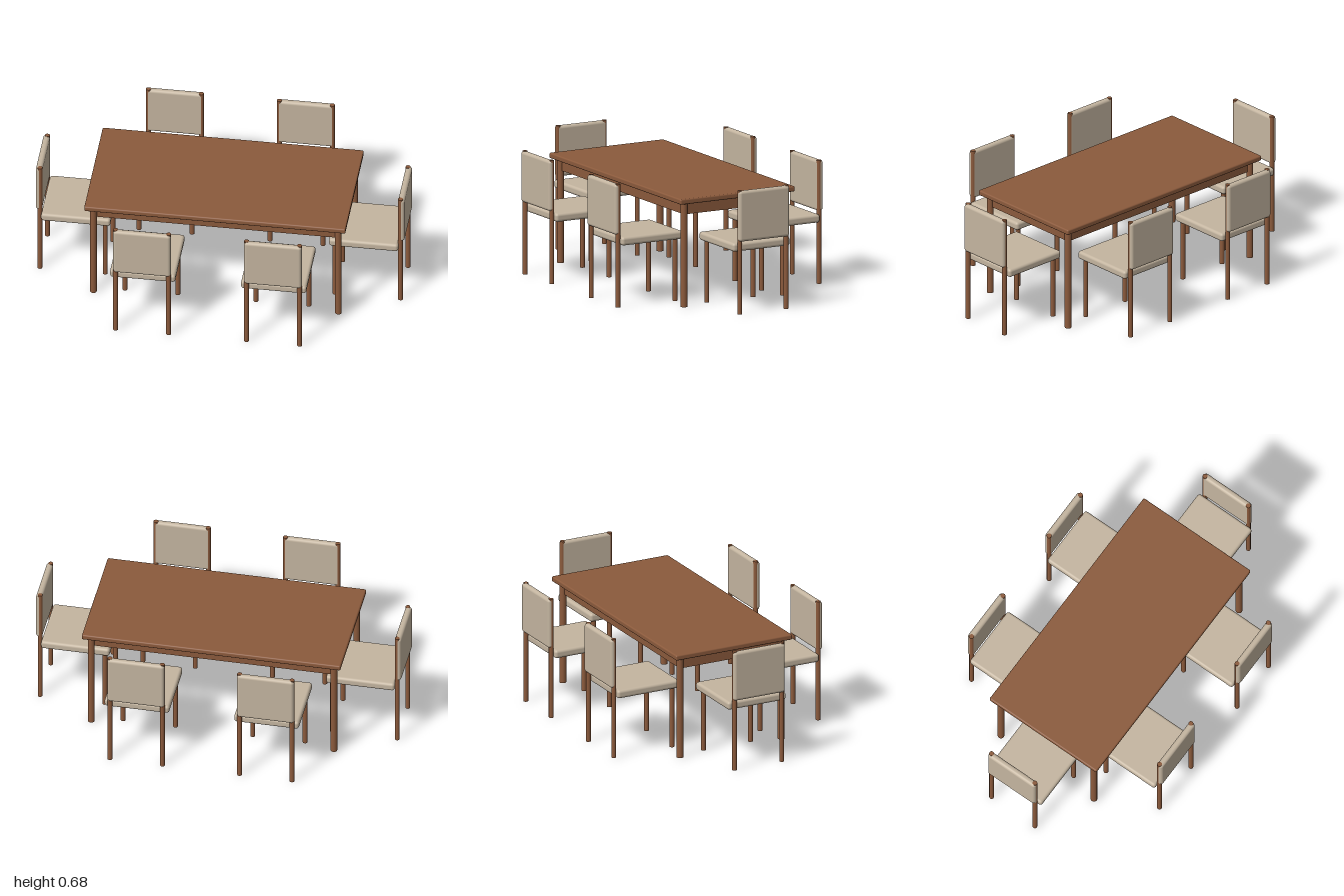
import * as THREE from 'three';
import { RoundedBoxGeometry } from 'three/addons/geometries/RoundedBoxGeometry.js';

const wood = new THREE.MeshStandardMaterial({ color: 0x8b5a3c });
const fabric = new THREE.MeshStandardMaterial({ color: 0xc4b5a0 });

function add(parent, name, geometry, material, x, y, z) {
  const mesh = new THREE.Mesh(geometry, material);
  mesh.name = name;
  mesh.position.set(x, y, z);
  parent.add(mesh);
}

// Soft-edged box; y is the height of its underside
function block(parent, name, material, [w, h, d], [x, y, z], radius) {
  add(parent, name, new RoundedBoxGeometry(w, h, d, 4, radius), material, x, y + h / 2, z);
}

// Round leg standing on the floor
function leg(parent, name, radius, height, x, z) {
  add(parent, name, new THREE.CylinderGeometry(radius, radius, height, 24), wood, x, height / 2, z);
}

function createTable() {
  const table = new THREE.Group();
  table.name = 'table';
  const legX = 0.664, legZ = 0.308;
  block(table, 'tableTop', wood, [1.416, 0.03, 0.708], [0, 0.57, 0], 0.008);
  // Solid frame under the top
  add(table, 'apron', new THREE.BoxGeometry(legX * 2, 0.066, legZ * 2), wood, 0, 0.539, 0);
  for (const s of [-1, 1]) {
    for (const t of [-1, 1]) leg(table, 'tableLeg', 0.0182, 0.572, s * legX, t * legZ);
  }
  return table;
}

// Chair with its back towards +z; z = 0 is the rear face of the backrest
function createChair() {
  const chair = new THREE.Group();
  chair.name = 'chair';
  block(chair, 'seat', fabric, [0.354, 0.046, 0.375], [0, 0.34, -0.2195], 0.015);
  block(chair, 'backrest', fabric, [0.312, 0.278, 0.036], [0, 0.398, -0.018], 0.016);
  for (const s of [-1, 1]) {
    leg(chair, 'backPost', 0.013, 0.677, s * 0.1435, -0.0225);
    leg(chair, 'frontLeg', 0.013, 0.345, s * 0.1435, -0.377);
  }
  return chair;
}

export function createModel() {
  const set = new THREE.Group();
  set.name = 'diningSet';
  set.add(createTable());
  // Two chairs on each long side, one at each end: x, z, turn
  const places = [
    [-0.355, 0.645, 0], [0.355, 0.645, 0],
    [-0.355, -0.645, Math.PI], [0.355, -0.645, Math.PI],
    [1, 0, Math.PI / 2], [-1, 0, -Math.PI / 2],
  ];
  for (const [x, z, turn] of places) {
    const chair = createChair();
    chair.position.set(x, 0, z);
    chair.rotation.y = turn;
    set.add(chair);
  }
  return set;
}
